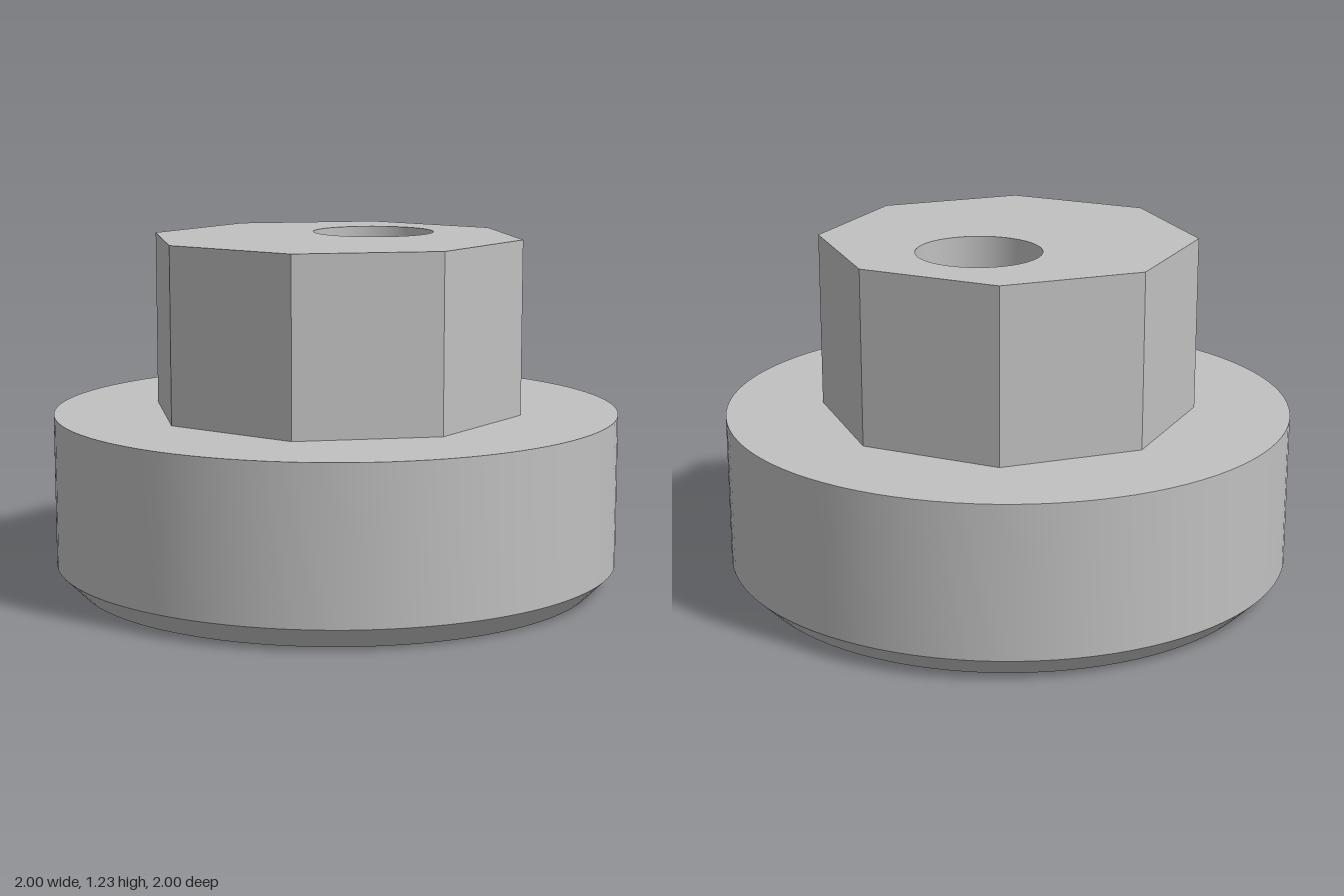
import * as THREE from 'three';
import { toCreasedNormals } from 'three/addons/utils/BufferGeometryUtils.js';

export function createModel() {
  const model = new THREE.Group();
  model.name = 'knob';
  const grey = new THREE.MeshStandardMaterial({ color: 0xc0c0c0 });
  grey.name = 'light grey';

  const baseTop = 0.615, top = 1.23, chamfer = 0.077;

  // Round base: underside with three concentric grooves, chamfer, rim, flat top
  const grooveDepth = 0.077;
  const profile = [[0, 0]];
  for (const [inner, outer] of [[0.22, 0.293], [0.481, 0.554], [0.735, 0.805]]) {
    profile.push([inner, 0], [inner, grooveDepth], [outer, grooveDepth], [outer, 0]);
  }
  profile.push([1 - chamfer, 0], [1, chamfer], [1, baseTop], [0, baseTop]);
  const baseGeometry = new THREE.LatheGeometry(profile.map(([r, y]) => new THREE.Vector2(r, y)), 96);
  const base = new THREE.Mesh(toCreasedNormals(baseGeometry, 0.5), grey);
  base.name = 'roundBase';
  model.add(base);

  // Octagonal head with an off-centre round hole towards the back
  const apothem = 0.613;
  const radius = apothem / Math.cos(Math.PI / 8);
  const octagon = new THREE.Shape();
  for (let i = 0; i < 8; i++) {
    const a = Math.PI / 8 + (i * Math.PI) / 4;
    const x = radius * Math.cos(a), y = radius * Math.sin(a);
    if (i === 0) octagon.moveTo(x, y);
    else octagon.lineTo(x, y);
  }
  octagon.closePath();
  const hole = new THREE.Path();
  hole.absarc(0, 0.234, 0.217, 0, Math.PI * 2, true);
  octagon.holes.push(hole);

  const headGeometry = new THREE.ExtrudeGeometry(octagon, {
    depth: top - baseTop, bevelEnabled: false, curveSegments: 48,
  });
  headGeometry.rotateX(-Math.PI / 2);
  headGeometry.translate(0, baseTop, 0);
  const head = new THREE.Mesh(toCreasedNormals(headGeometry, 0.5), grey);
  head.name = 'octagonalHead';
  model.add(head);

  return model;
}
